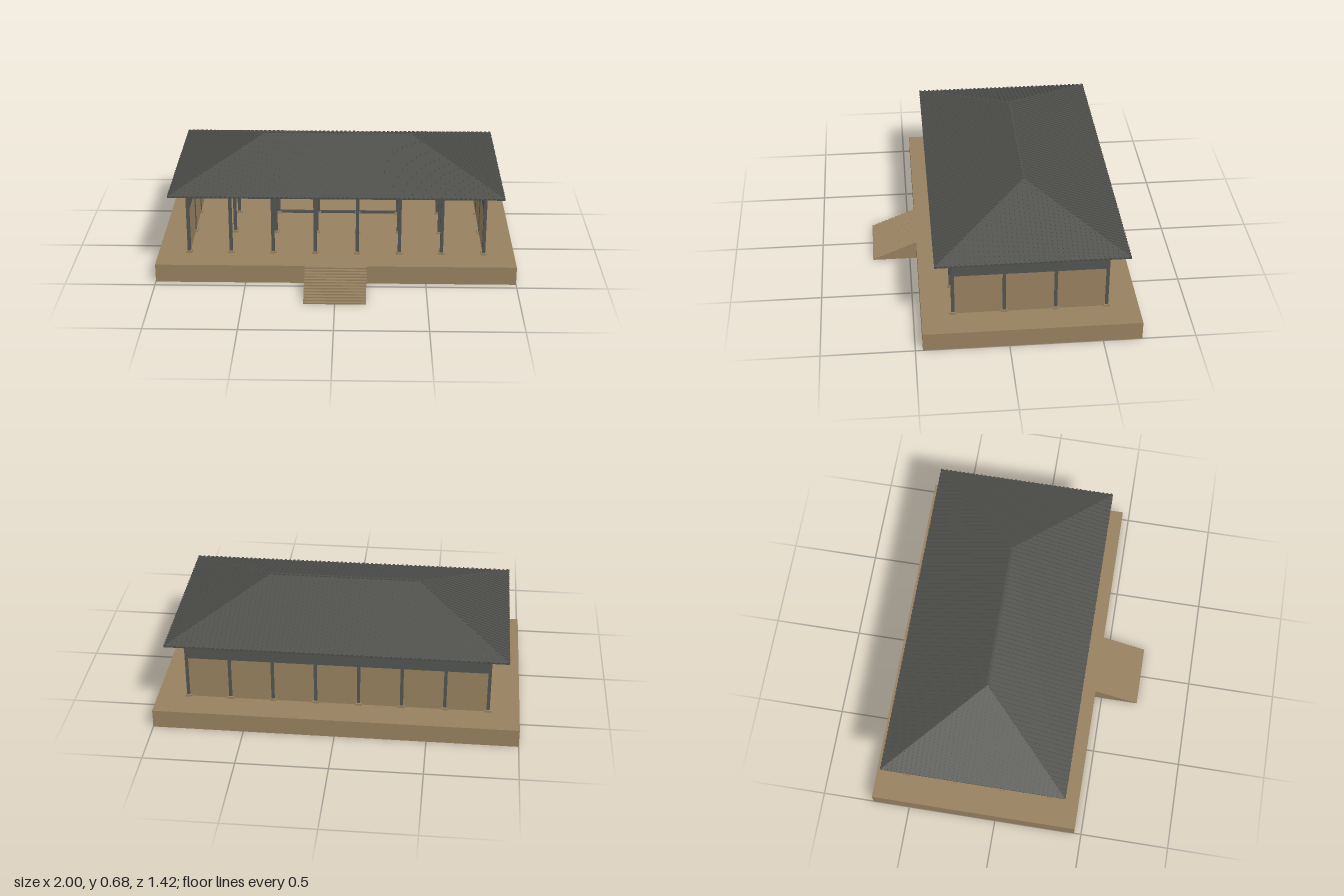
import * as THREE from 'three';
import { mergeGeometries } from 'three/addons/utils/BufferGeometryUtils.js';

const FLOOR = 0.105, EAVE = 0.475, ZC = -0.127;
const POST_X = [...Array(8)].map((_, i) => -0.828 + i * 0.2366);
const POST_Z = [0.29, 0.0145, -0.261, -0.537];

export function createModel() {
  const model = new THREE.Group();
  const make = (name, color) => new THREE.MeshStandardMaterial({ name, color, flatShading: true });
  const earth = make('earthTan', 0x96805f);
  const timber = make('timberGrey', 0x515451);
  const tile = make('roofCharcoal', 0x4e4f4b);
  tile.side = THREE.DoubleSide;

  const add = (name, geometry, material) => {
    const mesh = new THREE.Mesh(geometry, material);
    mesh.name = name;
    model.add(mesh);
    return mesh;
  };
  // Box given by its limits on each axis
  const box = (x0, x1, y0, y1, z0, z1) =>
    new THREE.BoxGeometry(x1 - x0, y1 - y0, z1 - z0)
      .translate((x0 + x1) / 2, (y0 + y1) / 2, (z0 + z1) / 2);

  // Platform
  add('platform', box(-1, 1, 0, FLOOR, -0.71, 0.46), earth);

  // Front steps: stepped side profile pulled across x
  const steps = 13, zFront = 0.71, zTop = 0.46;
  const profile = new THREE.Shape();
  profile.moveTo(zTop, 0);
  profile.lineTo(zFront, 0);
  for (let i = 0; i < steps; i++) {
    const y = FLOOR * (i + 1) / steps;
    profile.lineTo(zFront - (zFront - zTop) * i / steps, y);
    profile.lineTo(zFront - (zFront - zTop) * (i + 1) / steps, y);
  }
  add('frontSteps', new THREE.ExtrudeGeometry(profile, { depth: 0.34, bevelEnabled: false })
    .rotateY(-Math.PI / 2).translate(0.17, 0, 0), earth);

  // Grid of posts on square footings
  const posts = [], footings = [];
  for (const x of POST_X) for (const z of POST_Z) {
    posts.push(box(x - 0.009, x + 0.009, FLOOR, EAVE, z - 0.009, z + 0.009));
    footings.push(box(x - 0.017, x + 0.017, FLOOR, FLOOR + 0.012, z - 0.017, z + 0.017));
  }
  add('posts', mergeGeometries(posts), timber);
  add('footings', mergeGeometries(footings), earth);

  // Walls on the back and both sides: plaster below, boarding above; front left open
  const [xL, xR] = [POST_X[0], POST_X[7]], [zF, zB] = [POST_Z[0], POST_Z[3]];
  const t = 0.005;
  const walls = (y0, y1) => mergeGeometries([
    box(xL, xR, y0, y1, zB - t, zB + t),
    box(xL - t, xL + t, y0, y1, zB, zF),
    box(xR - t, xR + t, y0, y1, zB, zF),
  ]);
  add('lowerWalls', walls(FLOOR, 0.35), earth);
  add('upperWalls', walls(0.35, EAVE), timber);

  // Beams over each row of posts
  const beams = [];
  for (const z of POST_Z) beams.push(box(xL, xR, 0.46, EAVE, z - 0.008, z + 0.008));
  for (const x of [xL, xR]) beams.push(box(x - 0.008, x + 0.008, 0.46, EAVE, zB, zF));
  add('beams', mergeGeometries(beams), timber);

  // Low sill between the inner posts
  add('innerSill', box(POST_X[2], POST_X[5], FLOOR, 0.12, POST_Z[2] - 0.006, POST_Z[2] + 0.006), timber);

  // Hipped roof: eave slab plus four slopes
  const W = 0.925, D = 0.5125, run = 0.5125, rise = 0.188, yE = EAVE + 0.007;
  const pitch = Math.atan2(rise, run), ridge = W - run;
  add('eaveSlab', box(-W, W, EAVE, yE, ZC - D, ZC + D), tile);
  const A = [-W, yE, D], B = [W, yE, D], C = [W, yE, -D], E = [-W, yE, -D];
  const R = [ridge, yE + rise, 0], L = [-ridge, yE + rise, 0];
  const slopes = new THREE.BufferGeometry();
  slopes.setAttribute('position', new THREE.Float32BufferAttribute(
    [A, B, R, A, R, L, C, E, L, C, L, R, B, C, R, E, A, L].flat(), 3));
  slopes.computeVertexNormals();
  add('roofSlopes', slopes.translate(0, 0, ZC), tile);

  // Raised ribs running up each slope and stopping at the hips
  const ribs = [];
  for (let side = 0; side < 4; side++) {
    const half = side % 2 ? D : W, out = side % 2 ? W : D;
    const count = Math.round(2 * half / 0.026);
    for (let i = 0; i <= count; i++) {
      const u = (-1 + 2 * i / count) * (half - 0.008);
      const d = Math.min(run, half - Math.abs(u));
      ribs.push(new THREE.BoxGeometry(0.011, 0.01, d / Math.cos(pitch))
        .rotateX(pitch)
        .translate(u, yE + d / 2 * Math.tan(pitch), out - d / 2)
        .rotateY(side * Math.PI / 2)
        .translate(0, 0, ZC));
    }
  }
  add('roofRibs', mergeGeometries(ribs), tile);

  // Ridge cap
  add('ridgeCap', box(-ridge, ridge, yE + rise - 0.006, yE + rise + 0.005, ZC - 0.006, ZC + 0.006), tile);

  return model;
}
